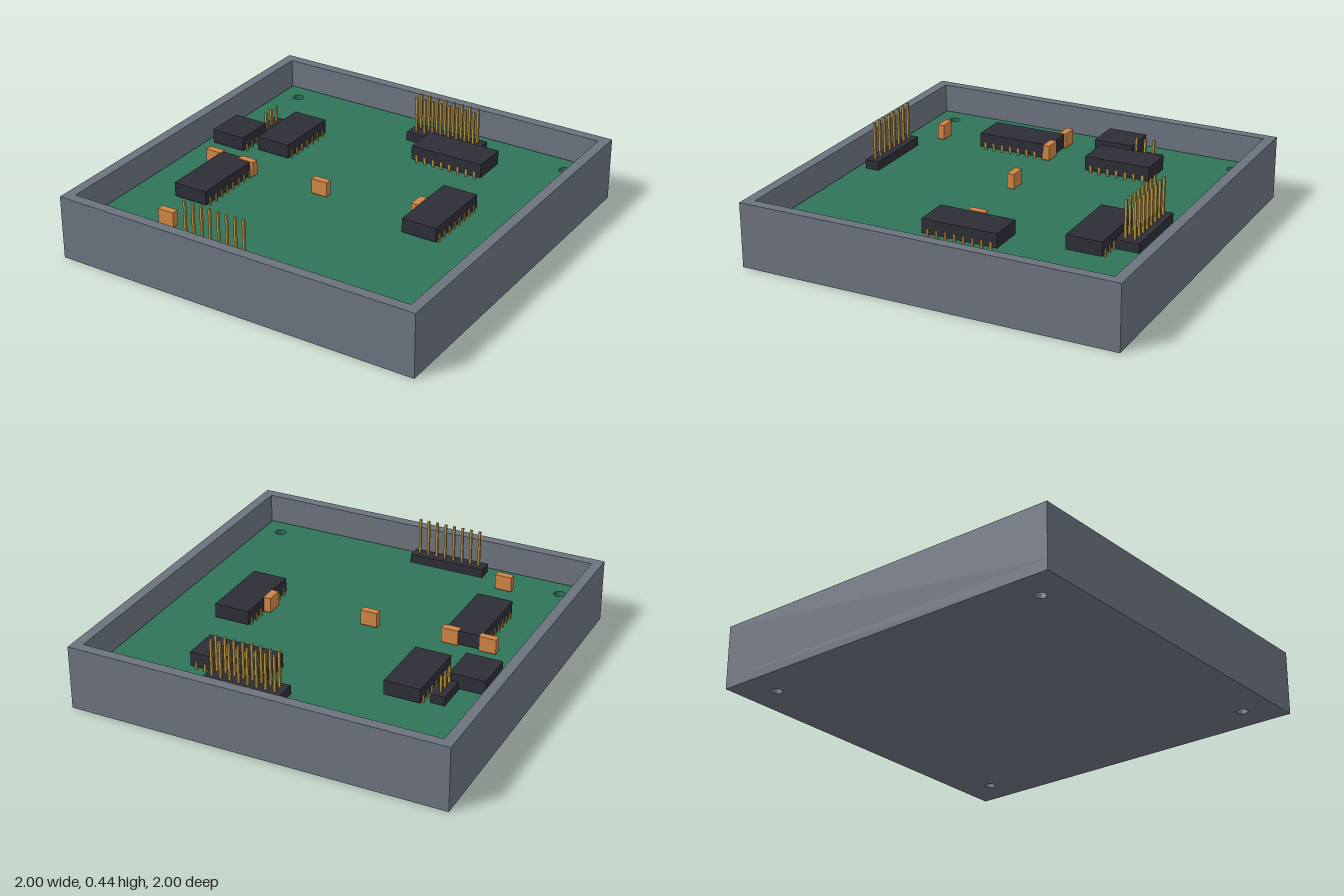
import * as THREE from 'three';

const mat = (name, color) => {
  const m = new THREE.MeshStandardMaterial({ color });
  m.name = name;
  return m;
};

export function createModel() {
  const grey = mat('case grey', 0x6b727d);
  const green = mat('board green', 0x2e7359);
  const black = mat('chip black', 0x2d2d36);
  const orange = mat('capacitor orange', 0xd08445);
  const gold = mat('pin gold', 0xb8923f);

  const BOARD_TOP = 0.19, BOARD_T = 0.03, FLOOR = 0.055, HEIGHT = 0.34;
  const PITCH = 0.0487, HOLE = 0.825, HOLE_R = 0.03;
  const model = new THREE.Group();
  model.name = 'circuitBoardInCase';

  const add = (parent, name, geo, material, x = 0, y = 0, z = 0) => {
    const mesh = new THREE.Mesh(geo, material);
    mesh.name = name;
    mesh.position.set(x, y, z);
    parent.add(mesh);
    return mesh;
  };
  // Box whose y is its underside
  const box = (parent, name, material, w, h, d, x, y, z) =>
    add(parent, name, new THREE.BoxGeometry(w, h, d), material, x, y + h / 2, z);

  const square = (half, Type = THREE.Shape) => new Type([
    new THREE.Vector2(-half, -half), new THREE.Vector2(half, -half),
    new THREE.Vector2(half, half), new THREE.Vector2(-half, half)]);
  const circle = (Type, x, y, r) => new Type().absarc(x, y, r, 0, Math.PI * 2, false);
  const corners = [[-1, -1], [1, -1], [1, 1], [-1, 1]].map(([x, z]) => [x * HOLE, z * HOLE]);
  const extrude = (shape, depth) => new THREE.ExtrudeGeometry(shape,
    { depth, bevelEnabled: false, curveSegments: 16 }).rotateX(-Math.PI / 2);
  const drilledPlate = (half, depth) => {
    const shape = square(half);
    corners.forEach(([x, y]) => shape.holes.push(circle(THREE.Path, x, y, HOLE_R)));
    return extrude(shape, depth);
  };

  // Open case: drilled floor, walls and hollow standoffs
  add(model, 'caseFloor', drilledPlate(1, FLOOR), grey);
  const walls = square(1);
  walls.holes.push(square(0.946, THREE.Path));
  add(model, 'caseWalls', extrude(walls, HEIGHT - FLOOR), grey, 0, FLOOR, 0);
  const ring = circle(THREE.Shape, 0, 0, 0.06);
  ring.holes.push(circle(THREE.Path, 0, 0, HOLE_R));
  const standoff = extrude(ring, BOARD_TOP - BOARD_T - FLOOR);
  corners.forEach(([x, z]) => add(model, 'standoff', standoff, grey, x, FLOOR, z));

  // Circuit board
  add(model, 'circuitBoard', drilledPlate(0.936, BOARD_T), green, 0, BOARD_TOP - BOARD_T, 0);

  // Chips with two rows of legs; the length runs along local x
  const chip = (x, z, pins, turned) => {
    const g = new THREE.Group();
    g.name = 'chip';
    g.position.set(x, BOARD_TOP, z);
    if (turned) g.rotation.y = Math.PI / 2;
    box(g, 'chipBody', black, pins * PITCH + 0.018, 0.075, 0.19, 0, 0.012, 0);
    for (let i = 0; i < pins; i++) {
      const px = (i - (pins - 1) / 2) * PITCH;
      for (const s of [-1, 1])
        box(g, 'chipLeg', gold, 0.012, 0.08, 0.008, px, -0.04, s * 0.097);
    }
    model.add(g);
  };
  chip(0.305, -0.591, 8, false);
  chip(-0.54, -0.334, 7, true);
  chip(-0.786, -0.205, 4, true);
  chip(0.551, -0.003, 8, true);
  chip(-0.597, 0.286, 8, true);

  // Pin headers
  const header = (x, z, cols, rows, top) => {
    const g = new THREE.Group();
    g.name = 'pinHeader';
    g.position.set(x, 0, z);
    box(g, 'headerBody', black, cols * PITCH + 0.026, 0.048, rows * PITCH + 0.028, 0, BOARD_TOP, 0);
    for (let c = 0; c < cols; c++)
      for (let r = 0; r < rows; r++)
        box(g, 'headerPin', gold, 0.012, top - 0.13, 0.012,
          (c - (cols - 1) / 2) * PITCH, 0.13, (r - (rows - 1) / 2) * PITCH);
    model.add(g);
  };
  header(0.165, -0.752, 8, 2, 0.435);
  header(-0.184, 0.852, 8, 1, 0.435);
  header(-0.703, -0.381, 1, 3, 0.325);

  // Capacitors on short leads
  const capacitor = (x, z, turned) => {
    const g = new THREE.Group();
    g.name = 'capacitor';
    g.position.set(x, BOARD_TOP, z);
    if (turned) g.rotation.y = Math.PI / 2;
    box(g, 'capacitorBody', orange, 0.09, 0.08, 0.038, 0, 0.01, 0);
    for (const s of [-1, 1])
      box(g, 'capacitorLead', gold, 0.01, 0.05, 0.01, s * PITCH / 2, -0.035, 0);
    model.add(g);
  };
  capacitor(-0.73, 0.09, false);
  capacitor(-0.527, 0.09, false);
  capacitor(-0.09, 0.076, false);
  capacitor(0.438, 0.005, true);
  capacitor(-0.55, 0.735, false);

  return model;
}
